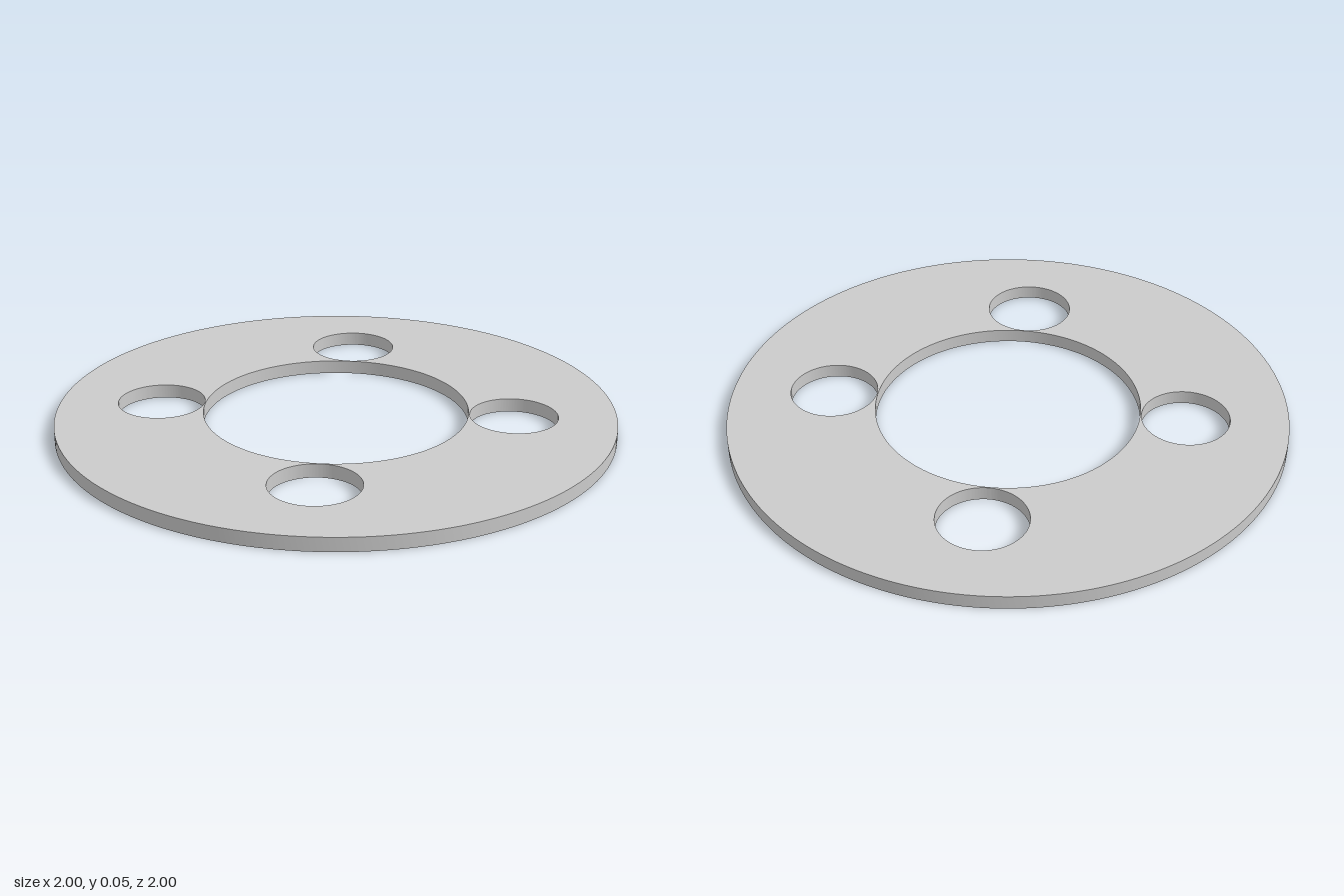
import * as THREE from 'three';
import { toCreasedNormals } from 'three/addons/utils/BufferGeometryUtils.js';

const OUTER_RADIUS = 1;
const BORE_RADIUS = 0.475;
const BOLT_RADIUS = 0.157;
const BOLT_CIRCLE = 0.636;
const BOLT_COUNT = 4;
const THICKNESS = 0.05;

function circle(PathType, x, y, radius) {
  return new PathType().absarc(x, y, radius, 0, Math.PI * 2, false);
}

export function createModel() {
  const group = new THREE.Group();
  group.name = 'flangeRing';

  // Round plate with a central bore
  const outline = circle(THREE.Shape, 0, 0, OUTER_RADIUS);
  outline.holes.push(circle(THREE.Path, 0, 0, BORE_RADIUS));

  // Bolt holes spaced evenly around the plate
  for (let i = 0; i < BOLT_COUNT; i++) {
    const a = (i / BOLT_COUNT) * Math.PI * 2;
    outline.holes.push(
      circle(THREE.Path, BOLT_CIRCLE * Math.cos(a), BOLT_CIRCLE * Math.sin(a), BOLT_RADIUS)
    );
  }

  // Extrude and lay flat on the ground, with smooth walls and sharp rims
  const geometry = new THREE.ExtrudeGeometry(outline, {
    depth: THICKNESS,
    bevelEnabled: false,
    curveSegments: 96,
  });
  geometry.rotateX(-Math.PI / 2);

  const plate = new THREE.Mesh(
    toCreasedNormals(geometry, Math.PI / 6),
    new THREE.MeshStandardMaterial({ color: 0xcccccc })
  );
  plate.name = 'plate';
  group.add(plate);

  return group;
}
